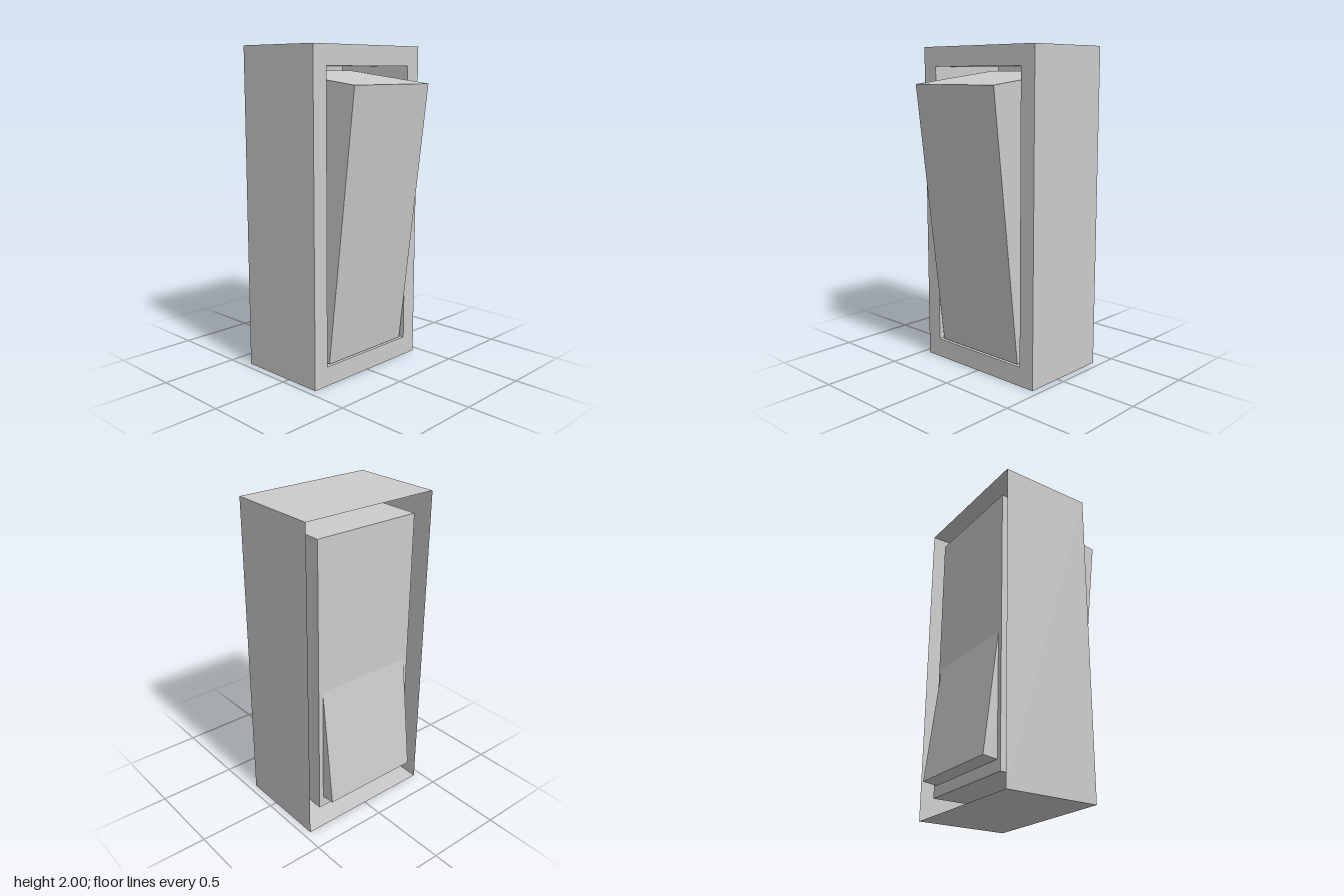
import * as THREE from 'three';

const material = new THREE.MeshStandardMaterial({ color: 0xcccccc, side: THREE.DoubleSide });

// Outer housing and the pocket the rocker sits in
const BACK = -0.363, FRONT = 0.233, POCKET_BACK = -0.33;
const HOUSING = { h: 2, d: 0.908 };
const POCKET = { h: 1.76, d: 0.705 };
const ROCKER = { w: 0.645, h: 1.663, d: 0.646, tilt: -0.12 };

function addMesh(group, name, geometry, x, y) {
  const mesh = new THREE.Mesh(geometry, material);
  mesh.name = name;
  mesh.position.set(x, y, 0);
  group.add(mesh);
  return mesh;
}

// Thin-walled box without the listed sides (0: +x, 1: -x)
function openBox(w, h, d, missing) {
  const geometry = new THREE.BoxGeometry(w, h, d);
  const index = Array.from(geometry.index.array);
  geometry.setIndex(index.filter((_, i) => !missing.includes(Math.floor(i / 6))));
  geometry.clearGroups();
  return geometry;
}

function rectangle(path, w, h) {
  path.moveTo(-w / 2, -h / 2);
  path.lineTo(w / 2, -h / 2);
  path.lineTo(w / 2, h / 2);
  path.lineTo(-w / 2, h / 2);
  path.closePath();
  return path;
}

export function createModel() {
  const model = new THREE.Group();
  model.name = 'rockerSwitch';

  // Top, bottom and side walls, open at the rear
  addMesh(model, 'housingWalls',
    openBox(FRONT - BACK, HOUSING.h, HOUSING.d, [0, 1]), (FRONT + BACK) / 2, 1);

  // Face plate with the rocker opening
  const plate = rectangle(new THREE.Shape(), HOUSING.d, HOUSING.h);
  plate.holes.push(rectangle(new THREE.Path(), POCKET.d, POCKET.h));
  const facePlate = addMesh(model, 'facePlate', new THREE.ShapeGeometry(plate), FRONT, 1);
  facePlate.rotation.y = Math.PI / 2;

  // Recess behind the opening, closed at its rear
  addMesh(model, 'pocket',
    openBox(FRONT - POCKET_BACK, POCKET.h, POCKET.d, [0]), (FRONT + POCKET_BACK) / 2, 1);

  // Tilted rocker, its lower edge passing through the pocket's rear wall
  const rocker = addMesh(model, 'rocker',
    new THREE.BoxGeometry(ROCKER.w, ROCKER.h, ROCKER.d), 0, 0.989);
  rocker.rotation.z = ROCKER.tilt;

  return model;
}
